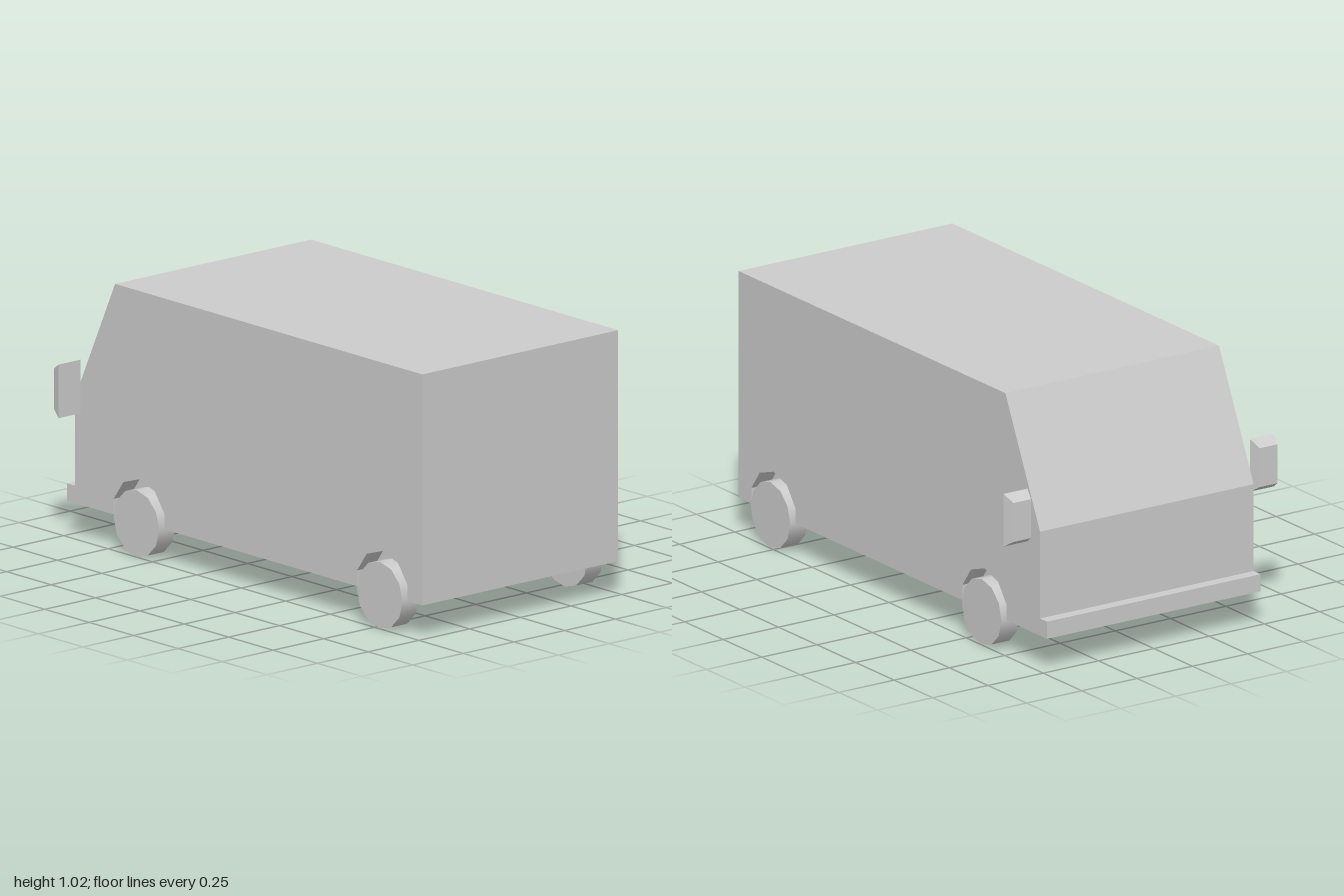
import * as THREE from 'three';

const HALF_W = 0.483;    // half width of the body
const FLOOR = 0.133;
const ARCH_R = 0.15;
const AXLES = [-0.595, 0.775]; // front and rear axle z

const flat = new THREE.MeshStandardMaterial({ color: 0xcccccc, flatShading: true });
const smooth = new THREE.MeshStandardMaterial({ color: 0xcccccc });

function add(parent, name, geometry, material = flat) {
  const mesh = new THREE.Mesh(geometry, material);
  mesh.name = name;
  parent.add(mesh);
  return mesh;
}

// Extrude a side profile of [-z, y] points across the width
function extrudeAcross(points, halfWidth) {
  const shape = new THREE.Shape(points.map(([u, y]) => new THREE.Vector2(u, y)));
  const geometry = new THREE.ExtrudeGeometry(shape, { depth: halfWidth * 2, bevelEnabled: false });
  return geometry.rotateY(Math.PI / 2).translate(-halfWidth, 0, 0);
}

// Wheel arch outline from back to front, a half decagon with straight legs
function archPoints(z) {
  const points = [162, 126, 90, 54, 18].map((deg) => {
    const a = THREE.MathUtils.degToRad(deg);
    return [-z + Math.cos(a) * ARCH_R, 0.147 + Math.sin(a) * ARCH_R];
  });
  return [[points[0][0], FLOOR], ...points, [points[4][0], FLOOR]];
}

// Box tapering towards the front of the van (-z)
function mirrorGeometry() {
  const geometry = new THREE.BoxGeometry(0.108, 0.206, 0.043);
  const p = geometry.attributes.position;
  for (let i = 0; i < p.count; i++) {
    if (p.getZ(i) < 0) p.setXY(i, p.getX(i) * 0.74, p.getY(i) * 0.74);
  }
  geometry.computeVertexNormals();
  return geometry;
}

export function createModel() {
  const van = new THREE.Group();
  van.name = 'van';

  // Body with slanted windscreen and four wheel arches
  const [front, rear] = AXLES;
  add(van, 'body', extrudeAcross([
    [-1, FLOOR], ...archPoints(rear), ...archPoints(front),
    [1, FLOOR], [1, 0.2], [0.955, 0.2], [0.955, 0.54], [0.73, 1.02], [-1, 1.02],
  ], HALF_W));

  for (const [i, z] of AXLES.entries()) {
    const end = i === 0 ? 'front' : 'rear';

    // Floor between the arches closes them on the inside
    add(van, end + 'ArchFloor', extrudeAcross(archPoints(z), 0.4));

    // Axle
    const axle = new THREE.CylinderGeometry(0.035, 0.035, 0.84, 8).rotateZ(Math.PI / 2);
    add(van, end + 'Axle', axle).position.set(0, 0.13, z);

    // Wheels
    for (const side of [-1, 1]) {
      const wheel = new THREE.CylinderGeometry(0.128, 0.128, 0.08, 12).rotateZ(Math.PI / 2);
      add(van, end + (side > 0 ? 'Left' : 'Right') + 'Wheel', wheel, smooth)
        .position.set(side * 0.456, 0.13, z);
    }
  }

  // Door mirrors
  for (const side of [-1, 1]) {
    add(van, 'doorMirror', mirrorGeometry()).position.set(side * 0.557, 0.595, -0.9235);
  }
  return van;
}
